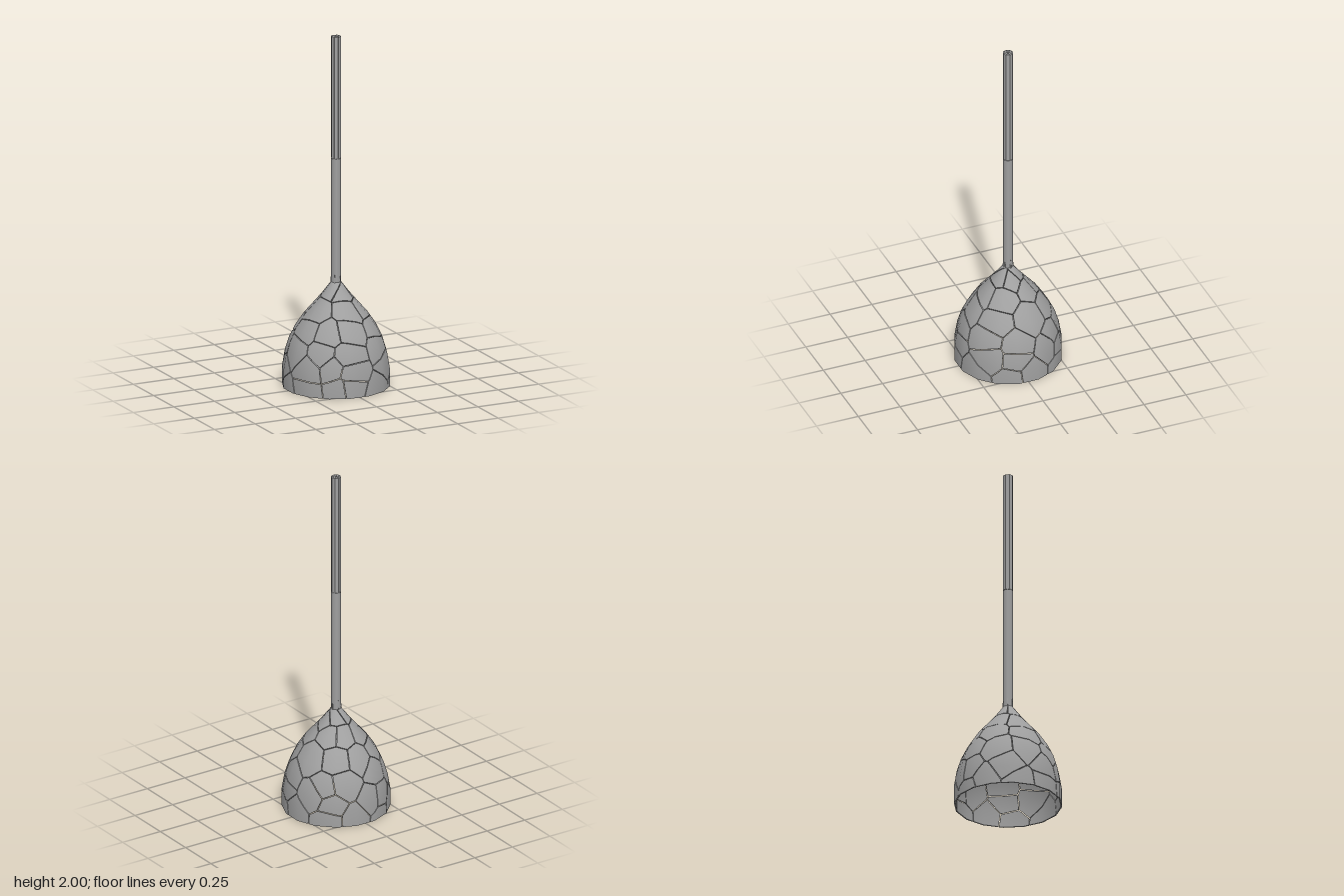
import * as THREE from 'three';

const grey = new THREE.MeshStandardMaterial({ color: 0xa0a0a0, side: THREE.DoubleSide });
grey.name = 'grey';

const GAP = 0.0022;   // half the width of a crack
const INNER = 0.975;  // scale of the inner skin

// small seeded generator for the crack pattern
let seed = 7;
const rand = () => (seed = (seed * 16807) % 2147483647) / 2147483647;

// half-profile of the cup, rim to neck: radius, height
const profile = [
  [0.3, 0], [0.3, 0.1], [0.285, 0.19], [0.262, 0.265], [0.228, 0.335],
  [0.178, 0.41], [0.13, 0.465], [0.075, 0.53], [0.028, 0.592],
].map(([r, y]) => new THREE.Vector2(r, y));

// keep the part of a convex polygon in front of a plane; corners carry normals
function clip(poly, plane) {
  const out = [];
  poly.forEach((a, i) => {
    const b = poly[(i + 1) % poly.length];
    const da = plane.distanceToPoint(a.p), db = plane.distanceToPoint(b.p);
    if (da >= 0) out.push(a);
    if ((da > 0 && db < 0) || (da < 0 && db > 0)) {
      const t = da / (da - db);
      out.push({ p: a.p.clone().lerp(b.p, t), n: a.n.clone().lerp(b.n, t) });
    }
  });
  return out;
}

// one cracked plate: outer skin, inner skin and the walls along its edges
function plateGeometry(polys, planes) {
  const pos = [], nor = [];
  const push = (p, n) => { pos.push(p.x, p.y, p.z); nor.push(n.x, n.y, n.z); };
  const inner = (p) => p.clone().multiplyScalar(INNER);
  for (const source of polys) {
    let poly = source;
    for (const plane of planes) {
      poly = clip(poly, plane);
      if (poly.length < 3) break;
    }
    if (poly.length < 3) continue;
    for (let i = 1; i < poly.length - 1; i++) {
      const tri = [poly[0], poly[i], poly[i + 1]];
      tri.forEach((v) => push(v.p, v.n));
      tri.reverse().forEach((v) => push(inner(v.p), v.n.clone().negate()));
    }
    poly.forEach((a, i) => {
      const b = poly[(i + 1) % poly.length];
      const edge = planes.find((q) =>
        Math.abs(q.distanceToPoint(a.p)) < 1e-6 && Math.abs(q.distanceToPoint(b.p)) < 1e-6);
      if (!edge) return;
      const n = edge.normal.clone().negate();
      [a.p, inner(a.p), inner(b.p), a.p, inner(b.p), b.p].forEach((p) => push(p, n));
    });
  }
  const g = new THREE.BufferGeometry();
  g.setAttribute('position', new THREE.Float32BufferAttribute(pos, 3));
  g.setAttribute('normal', new THREE.Float32BufferAttribute(nor, 3));
  return g;
}

function createCup() {
  const cup = new THREE.Group();
  cup.name = 'crackedCup';
  const lathe = new THREE.LatheGeometry(profile, 16, Math.PI / 16);
  const { position, normal } = lathe.attributes;
  const corner = (i) => ({
    p: new THREE.Vector3().fromBufferAttribute(position, i),
    n: new THREE.Vector3().fromBufferAttribute(normal, i),
  });
  const polys = [];
  for (let i = 0; i < lathe.index.count; i += 3) {
    polys.push([0, 1, 2].map((k) => corner(lathe.index.getX(i + k))));
  }

  // rings of jittered cell centres: height, radius, count
  const centres = [];
  [[0.03, 0.3, 11], [0.14, 0.29, 10], [0.25, 0.265, 9], [0.36, 0.21, 8],
    [0.46, 0.135, 6], [0.56, 0.05, 5]].forEach(([y, r, count]) => {
    for (let i = 0; i < count; i++) {
      const a = ((i + (rand() - 0.5) * 0.75) / count) * Math.PI * 2;
      const h = y + (rand() - 0.5) * 0.075;
      centres.push(new THREE.Vector3(Math.sin(a) * r, h, Math.cos(a) * r));
    }
  });

  // each plate is the surface nearest to its centre
  centres.forEach((c, i) => {
    const planes = [new THREE.Plane(new THREE.Vector3(0, 1, 0), 0)];
    centres.forEach((o, j) => {
      if (i === j || c.distanceTo(o) > 0.4) return;
      const n = c.clone().sub(o).normalize();
      const plane = new THREE.Plane().setFromNormalAndCoplanarPoint(n, c.clone().add(o).multiplyScalar(0.5));
      plane.constant -= GAP;
      planes.push(plane);
    });
    const plate = new THREE.Mesh(plateGeometry(polys, planes), grey);
    plate.name = 'cupPlate';
    cup.add(plate);
  });
  return cup;
}

function createHandle() {
  const handle = new THREE.Group();
  handle.name = 'handle';
  const R = 0.028, sides = 8, split = 1.3;

  // whole lower shaft
  const shaft = new THREE.Mesh(new THREE.CylinderGeometry(R, R, split - 0.575, sides, 1, false, Math.PI / 8), grey);
  shaft.position.y = (split + 0.575) / 2;
  shaft.name = 'lowerShaft';
  handle.add(shaft);

  // upper shaft, split lengthwise into splinters
  const step = (Math.PI * 2) / sides;
  for (let i = 0; i < sides; i++) {
    const at = (r, a) => new THREE.Vector2(Math.cos(a) * r, Math.sin(a) * r);
    const mid = (i + 0.5) * step;
    const shape = new THREE.Shape([
      at(0.002, mid), at(R, i * step + 0.035), at(R, (i + 1) * step - 0.035),
    ]);
    const wedge = new THREE.Mesh(
      new THREE.ExtrudeGeometry(shape, { depth: 2 - split - 0.002, bevelEnabled: false }), grey);
    wedge.rotation.x = -Math.PI / 2;
    wedge.position.y = split + 0.002;
    wedge.name = 'handleSplinter';
    handle.add(wedge);
  }

  // torn slivers where the cup meets the shaft
  for (let i = 0; i < 5; i++) {
    const a = (i / 5) * Math.PI * 2 + 0.5;
    const sliver = new THREE.Mesh(new THREE.ConeGeometry(0.006, 0.06 + 0.012 * (i % 3), 4), grey);
    sliver.position.set(Math.sin(a) * 0.027, 0.61, Math.cos(a) * 0.027);
    sliver.name = 'neckSliver';
    handle.add(sliver);
  }
  return handle;
}

export function createModel() {
  const model = new THREE.Group();
  model.name = 'crackedPlunger';
  model.add(createCup(), createHandle());
  return model;
}
